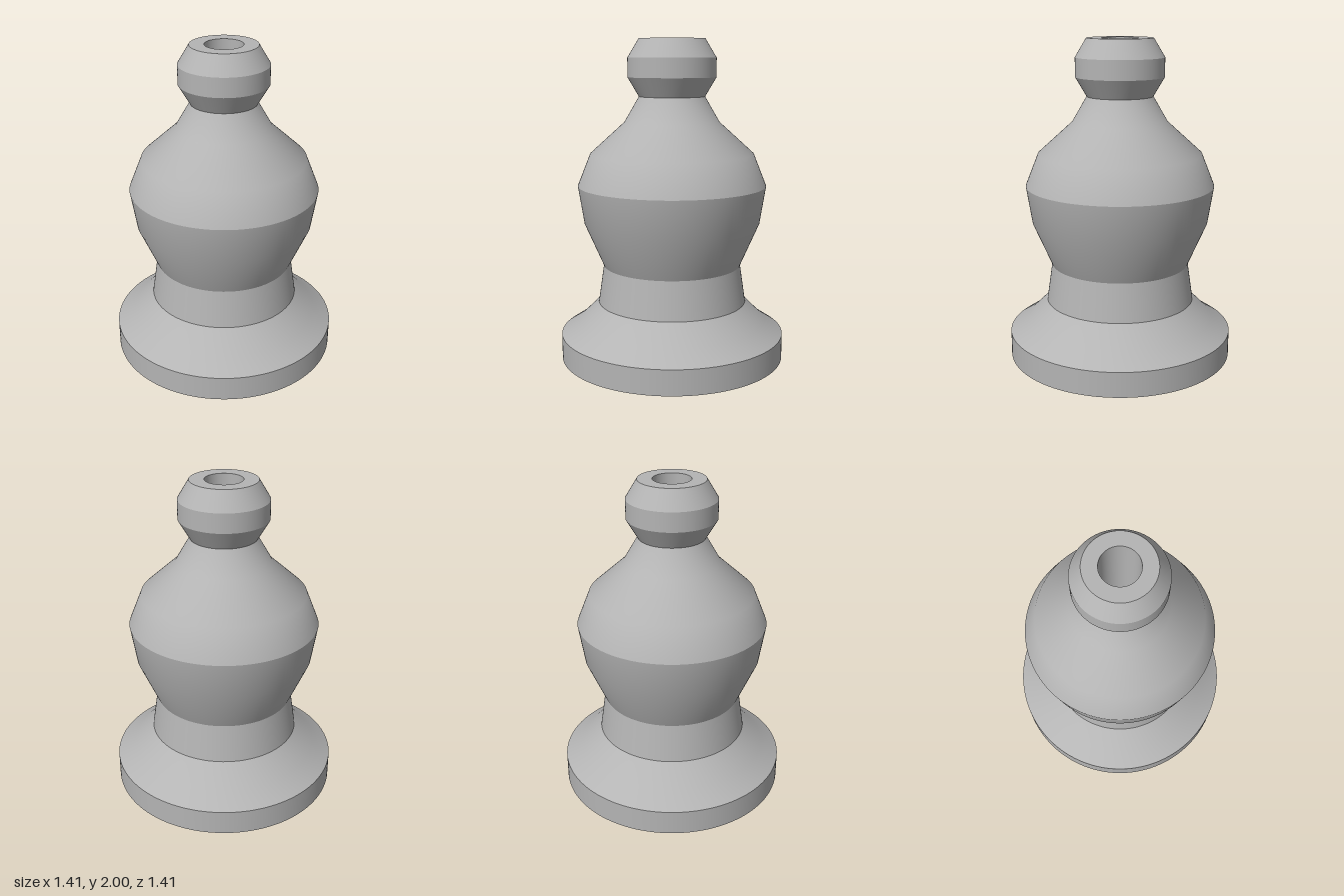
import * as THREE from 'three';

export function createModel() {
  const model = new THREE.Group();
  model.name = 'turnedFinial';
  const grey = new THREE.MeshStandardMaterial({ color: 0xb4b4b4 });
  grey.name = 'plain grey';

  // Each profile is [radius, height]; it is smooth within itself and creased where it meets the next.
  const turn = (name, ...profile) => {
    const points = profile.map(([r, y]) => new THREE.Vector2(r, y));
    const mesh = new THREE.Mesh(new THREE.LatheGeometry(points, 128), grey);
    mesh.name = name;
    model.add(mesh);
  };

  const bore = 0.115;

  // Foot disc and its flared top
  turn('footUnderside', [bore, 0], [0.705, 0]);
  turn('footRim', [0.705, 0], [0.705, 0.158]);
  turn('footFlare', [0.705, 0.158], [0.59, 0.235], [0.467, 0.357]);

  // Waist, belly and shoulder
  turn('waist', [0.467, 0.357], [0.432, 0.595]);
  turn('belly', [0.432, 0.595], [0.55, 0.868], [0.587, 1.102]);
  turn('shoulder', [0.587, 1.102], [0.508, 1.3], [0.295, 1.493], [0.204, 1.65]);

  // Faceted knob with a flat rim
  turn('knobLower', [0.204, 1.65], [0.273, 1.767]);
  turn('knobMiddle', [0.273, 1.767], [0.273, 1.885]);
  turn('knobUpper', [0.273, 1.885], [0.204, 2]);
  turn('knobRim', [0.204, 2], [bore, 2]);

  // Hole running right through the axis
  turn('bore', [bore, 2], [bore, 0]);

  return model;
}
